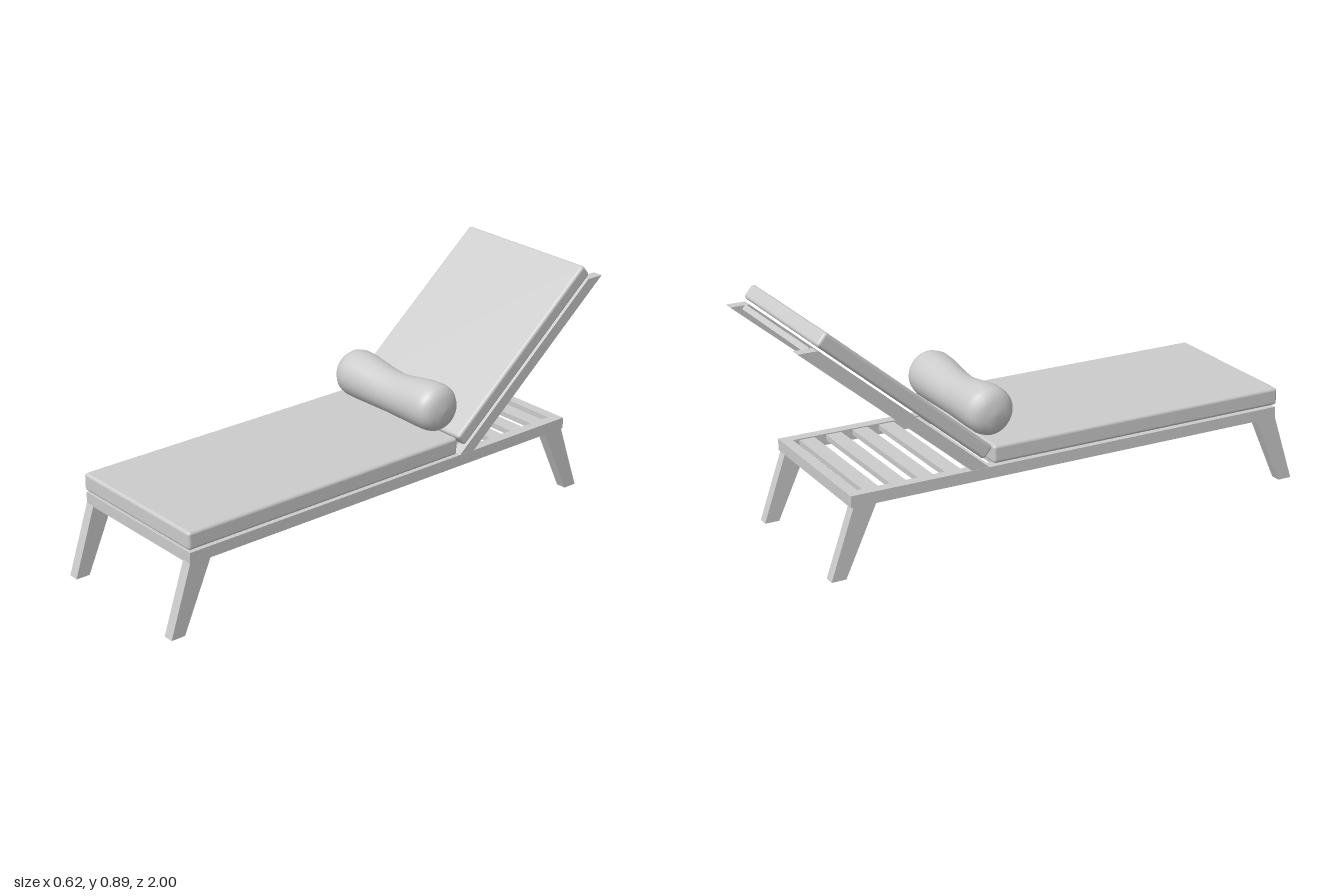
import * as THREE from 'three';
import { RoundedBoxGeometry } from 'three/addons/geometries/RoundedBoxGeometry.js';

const material = new THREE.MeshStandardMaterial({ color: 0xcccccc });

function add(parent, name, geometry, x = 0, y = 0, z = 0) {
  const mesh = new THREE.Mesh(geometry, material);
  mesh.name = name;
  mesh.position.set(x, y, z);
  parent.add(mesh);
  return mesh;
}

const box = (w, h, d) => new THREE.BoxGeometry(w, h, d);

// Extrudes a side profile of [z, y] points to a given width, centred on x
function sideProfile(points, width) {
  const shape = new THREE.Shape(points.map(([z, y]) => new THREE.Vector2(z, y)));
  const geometry = new THREE.ExtrudeGeometry(shape, { depth: width, bevelEnabled: false });
  return geometry.translate(0, 0, -width / 2).rotateY(-Math.PI / 2);
}

export function createModel() {
  const model = new THREE.Group();
  model.name = 'sunLounger';
  const railX = 0.285, railW = 0.04;

  // Base frame, legs and backrest rails, mirrored left and right
  const frontLeg = [[0.945, 0], [1.0, 0], [0.915, 0.26], [0.83, 0.26]];
  const backLeg = [[-0.905, 0], [-0.85, 0], [-0.73, 0.26], [-0.815, 0.26]];
  const backRail = [[-0.365, 0.3], [-0.297, 0.3], [-0.927, 0.83], [-0.998, 0.83]];
  for (const [side, label] of [[1, 'left'], [-1, 'right']]) {
    const x = side * railX;
    add(model, label + 'SideRail', box(railW, 0.043, 1.74), x, 0.278, 0.045);
    add(model, label + 'FrontLeg', sideProfile(frontLeg, railW), x);
    add(model, label + 'BackLeg', sideProfile(backLeg, railW), x);
    add(model, label + 'BackrestRail', sideProfile(backRail, railW), x);
  }
  add(model, 'frontRail', box(0.53, 0.043, 0.04), 0, 0.278, 0.895);
  add(model, 'backRail', box(0.53, 0.043, 0.04), 0, 0.278, -0.805);

  // Seat panel and the open slats behind it
  add(model, 'seatPanel', box(0.53, 0.015, 1.13), 0, 0.289, 0.31);
  for (let i = 0; i < 5; i++) {
    add(model, 'baseSlat', box(0.53, 0.02, 0.06), 0, 0.285, -0.31 - i * 0.105);
  }

  // Seat cushion
  add(model, 'seatCushion', new RoundedBoxGeometry(0.616, 0.067, 1.2, 3, 0.012), 0, 0.341, 0.32);

  // Reclined backrest: local y runs up the rails, local z faces the sitter
  const tilt = -Math.atan2(0.63, 0.53);
  const slats = new THREE.Group();
  slats.name = 'backrestSlats';
  slats.position.set(0, 0.3, -0.331);
  slats.rotation.x = tilt;
  for (let i = 0; i < 4; i++) {
    add(slats, 'backrestSlat', box(0.53, 0.1, 0.02), 0, 0.16 + i * 0.2, 0.005);
  }
  model.add(slats);
  const cushion = add(model, 'backCushion',
    new RoundedBoxGeometry(0.616, 0.805, 0.056, 3, 0.012), 0, 0.611, -0.607);
  cushion.rotation.x = tilt;

  // Bolster pillow with a narrower waist, resting on a level underside
  const half = [[0.078, 0], [0.08, 0.05], [0.084, 0.1], [0.089, 0.16], [0.09, 0.21],
    [0.085, 0.235], [0.072, 0.253], [0.045, 0.268], [0, 0.272]];
  const mirrored = half.slice(1).reverse().map(([r, h]) => [r, -h]);
  const profile = [...mirrored, ...half].map(([r, h]) => new THREE.Vector2(r, h));
  const pillow = new THREE.LatheGeometry(profile, 32).rotateZ(Math.PI / 2);
  const pos = pillow.attributes.position;
  for (let i = 0; i < pos.count; i++) {
    const t = Math.min(Math.abs(pos.getX(i)) / 0.21, 1);
    pos.setY(i, pos.getY(i) - 0.012 * (1 - t * t * (3 - 2 * t)));
  }
  pillow.computeBoundingSphere();
  add(model, 'bolsterPillow', pillow, 0, 0.472, -0.25);

  return model;
}
